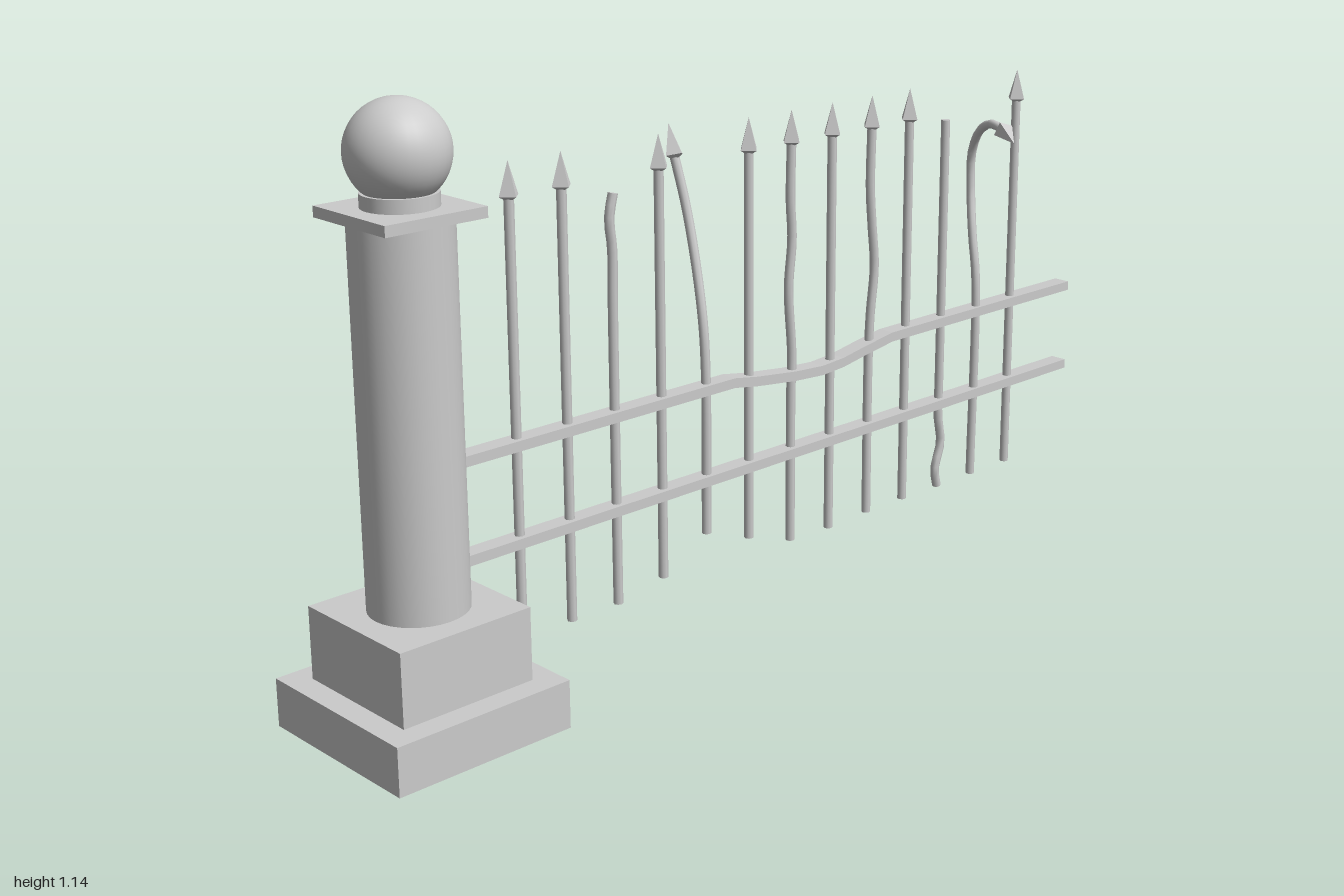
import * as THREE from 'three';

const mat = new THREE.MeshStandardMaterial({ color: 0xcccccc });
const flatMat = new THREE.MeshStandardMaterial({ color: 0xcccccc, flatShading: true });
const UP = new THREE.Vector3(0, 1, 0);
const BAR_R = 0.0095;

function add(parent, name, geo, material, x = 0, y = 0, z = 0) {
  const m = new THREE.Mesh(geo, material);
  m.name = name;
  m.position.set(x, y, z);
  parent.add(m);
  return m;
}

// Stone pillar: stepped plinth, round shaft, cap slab, neck and ball
function makePillar() {
  const g = new THREE.Group();
  g.name = 'pillar';
  const slab = (name, w, y0, y1) =>
    add(g, name, new THREE.BoxGeometry(w, y1 - y0, w), flatMat, 0, (y0 + y1) / 2);
  const drum = (name, r, y0, y1) =>
    add(g, name, new THREE.CylinderGeometry(r, r, y1 - y0, 32), mat, 0, (y0 + y1) / 2);
  slab('plinthLower', 0.37, 0, 0.093);
  slab('plinthUpper', 0.277, 0.093, 0.233);
  drum('shaft', 0.092, 0.233, 0.935);
  slab('capSlab', 0.207, 0.935, 0.955);
  drum('neck', 0.068, 0.955, 0.98);
  add(g, 'ball', new THREE.SphereGeometry(0.092, 32, 24), mat, 0, 1.048);
  g.position.z = 0.815;
  return g;
}

// Rail: a strip of constant height following a [z, y] centre line, extruded across x
function makeRail(name, line) {
  const h = 0.01, w = 0.037;
  const shape = new THREE.Shape([
    ...line.map(([z, y]) => new THREE.Vector2(z, y - h)),
    ...line.slice().reverse().map(([z, y]) => new THREE.Vector2(z, y + h)),
  ]);
  const geo = new THREE.ExtrudeGeometry(shape, { depth: w, bevelEnabled: false });
  geo.translate(0, 0, -w / 2).rotateY(-Math.PI / 2);
  const m = new THREE.Mesh(geo, flatMat);
  m.name = name;
  return m;
}

// Four-sided spear point with a shallow underside, standing on y = 0
const spearGeo = new THREE.LatheGeometry([
  new THREE.Vector2(0, -0.002),
  new THREE.Vector2(0.009, -0.002),
  new THREE.Vector2(0.0215, 0.005),
  new THREE.Vector2(0, 0.068),
], 4);

// Bar swept through [x, y, z] points, closed at both ends, with an optional spear point
function makeBar(points, tipDir) {
  const g = new THREE.Group();
  g.name = 'bar';
  const pts = points.map((p) => new THREE.Vector3(...p));
  const curve = new THREE.CatmullRomCurve3(pts, false, 'centripetal');
  const steps = pts.length > 2 ? 36 : 1;
  add(g, 'barShaft', new THREE.TubeGeometry(curve, steps, BAR_R, 8), mat);
  const disc = new THREE.CircleGeometry(BAR_R, 8);
  for (const t of [0, 1]) {
    const p = curve.getPointAt(t);
    const dir = curve.getTangentAt(t).multiplyScalar(t ? 1 : -1);
    add(g, 'barEnd', disc, mat, p.x, p.y, p.z)
      .quaternion.setFromUnitVectors(new THREE.Vector3(0, 0, 1), dir);
  }
  if (tipDir) {
    const p = pts[pts.length - 1];
    add(g, 'spearPoint', spearGeo, flatMat, p.x, p.y, p.z)
      .quaternion.setFromUnitVectors(UP, new THREE.Vector3(...tipDir).normalize());
  }
  return g;
}

export function createModel() {
  const model = new THREE.Group();
  model.name = 'fence';
  model.add(makePillar());

  // Rails, the upper one sagging in the middle
  model.add(makeRail('lowerRail', [[-1, 0.295], [0.74, 0.295]]));
  model.add(makeRail('upperRail', [
    [-1, 0.482], [-0.4, 0.482], [-0.32, 0.47], [-0.25, 0.458], [-0.19, 0.454],
    [-0.11, 0.459], [0, 0.472], [0.06, 0.482], [0.74, 0.482],
  ]));

  // Straight bars: [z, bottom]
  const TOP = 0.932, up = [0, 1, 0];
  const straight = [
    [0.588, 0.1], [0.47, 0.1], [0.238, 0.12], [0.005, 0.138],
    [-0.228, 0.096], [-0.46, 0.1], [-0.81, 0.1],
  ];
  for (const [z, y0] of straight) model.add(makeBar([[0, y0, z], [0, TOP, z]], up));

  // Slightly kinked bars
  model.add(makeBar([
    [0, 0.1, -0.114], [0, 0.42, -0.114], [0, 0.5, -0.116], [0, 0.64, -0.106],
    [0, 0.74, -0.115], [0, 0.82, -0.11], [0, TOP, -0.112],
  ], up));
  model.add(makeBar([
    [0, 0.1, -0.345], [0, 0.45, -0.345], [0, 0.54, -0.349], [0, 0.64, -0.359],
    [0, 0.73, -0.35], [0, 0.81, -0.343], [0, TOP, -0.345],
  ], up));

  // Broken bars without points
  model.add(makeBar([
    [0, 0.1, 0.355], [0, 0.7, 0.355], [0, 0.8, 0.354], [0, 0.86, 0.36], [0, 0.905, 0.35],
  ]));
  model.add(makeBar([
    [0, 0.1, -0.576], [0, 0.14, -0.568], [0, 0.2, -0.585], [0, 0.26, -0.575],
    [0, 0.35, -0.575], [0, 0.92, -0.575],
  ]));

  // Bars bent out of the plane to either side
  model.add(makeBar([
    [0, 0.18, 0.122], [0, 0.52, 0.122], [-0.012, 0.62, 0.118], [-0.045, 0.73, 0.106],
    [-0.078, 0.83, 0.099], [-0.105, 0.92, 0.102],
  ], [-0.02, 0.062, -0.003]));
  model.add(makeBar([
    [0, 0.1, -0.69], [0, 0.55, -0.69], [-0.02, 0.65, -0.698], [-0.045, 0.75, -0.718],
    [-0.045, 0.82, -0.718], [-0.015, 0.875, -0.704], [0.035, 0.902, -0.682],
    [0.085, 0.9, -0.659],
  ], [0.055, -0.018, 0.029]));

  return model;
}
